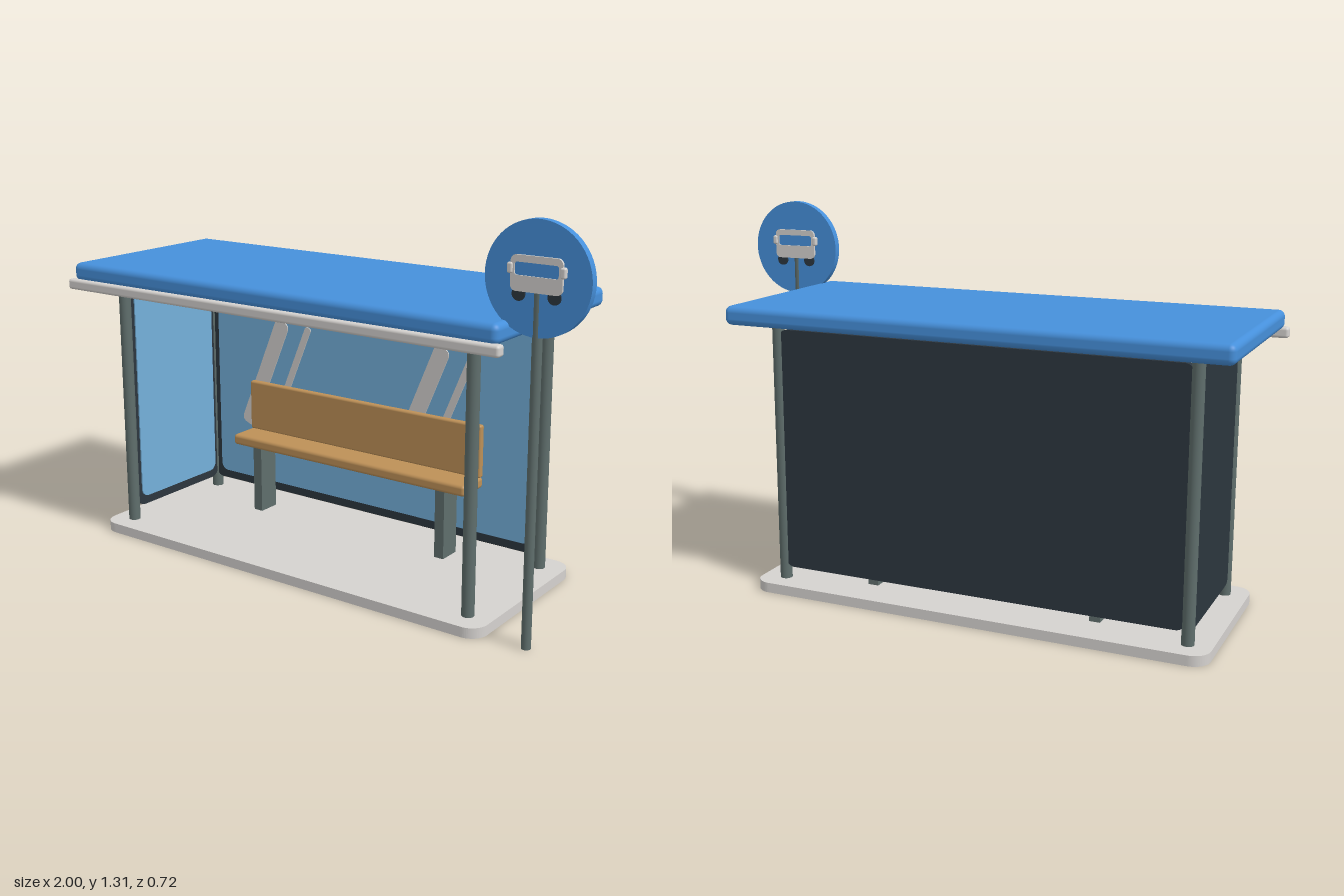
import * as THREE from 'three';
import { RoundedBoxGeometry } from 'three/addons/geometries/RoundedBoxGeometry.js';

const material = (name, color) => {
  const m = new THREE.MeshStandardMaterial({ color });
  m.name = name;
  return m;
};

// Rounded rectangle outline centred on (cx, cy)
function roundedRect(w, h, r, cx = 0, cy = 0, Type = THREE.Shape) {
  const s = new Type(), x = w / 2 - r, y = h / 2 - r;
  s.absarc(cx + x, cy + y, r, 0, Math.PI / 2);
  s.absarc(cx - x, cy + y, r, Math.PI / 2, Math.PI);
  s.absarc(cx - x, cy - y, r, Math.PI, Math.PI * 1.5);
  s.absarc(cx + x, cy - y, r, Math.PI * 1.5, Math.PI * 2);
  s.closePath();
  return s;
}

// Flat plate extruded along z and centred on z = 0
const plate = (shape, depth) =>
  new THREE.ExtrudeGeometry(shape, { depth, bevelEnabled: false, curveSegments: 8 }).translate(0, 0, -depth / 2);

export function createModel() {
  const blue = material('roof blue', 0x4690db);
  const glass = material('glass blue', 0x74b0da);
  const dark = material('frame charcoal', 0x2c363e);
  const steel = material('post grey', 0x5f6e6c);
  const wood = material('bench wood', 0xbd9057);
  const pale = material('pale grey', 0xd5d2cf);

  const model = new THREE.Group();
  model.name = 'busShelter';
  const add = (name, geometry, mat, x, y, z, parent = model) => {
    const mesh = new THREE.Mesh(geometry, mat);
    mesh.name = name;
    mesh.position.set(x, y, z);
    parent.add(mesh);
    return mesh;
  };

  // Ground slab
  const slab = plate(roundedRect(1.62, 0.64, 0.06), 0.035).rotateX(-Math.PI / 2);
  add('base', slab, pale, -0.12, 0.0175, -0.005);

  // Roof and front gutter
  add('roof', new RoundedBoxGeometry(1.73, 0.065, 0.705, 4, 0.022), blue, -0.12, 0.9775, -0.007);
  add('gutter', new RoundedBoxGeometry(1.76, 0.037, 0.037, 3, 0.01), pale, -0.12, 0.934, 0.342);

  // Four corner posts
  for (const x of [-0.85, 0.605])
    for (const z of [0.231, -0.242])
      add('post', new THREE.CylinderGeometry(0.021, 0.021, 0.925, 24), steel, x, 0.4925, z);

  // Back wall and the one end wall: dark panel with glass on the inside
  add('backPanel', plate(roundedRect(1.445, 0.845, 0.035), 0.024), dark, -0.1225, 0.5025, -0.242);
  add('backGlass', plate(roundedRect(1.385, 0.78, 0.03), 0.006), glass, -0.1175, 0.5025, -0.228);
  add('sidePanel', plate(roundedRect(0.45, 0.845, 0.035), 0.024).rotateY(Math.PI / 2), dark, -0.85, 0.5025, -0.005);
  add('sideGlass', plate(roundedRect(0.41, 0.78, 0.03), 0.006).rotateY(Math.PI / 2), glass, -0.836, 0.5025, -0.005);

  // Slanted reflections on the back glass
  for (const [x, y, width, length] of [[-0.577, 0.543, 0.064, 0.46], [-0.43, 0.6, 0.027, 0.32]])
    for (const shift of [0, 0.705]) {
      const streak = add('reflection', plate(roundedRect(width, length, width * 0.35), 0.004), pale, x + shift, y, -0.2235);
      streak.rotation.z = -0.4;
    }

  // Bench
  const bench = new THREE.Group();
  bench.name = 'bench';
  model.add(bench);
  add('seat', new RoundedBoxGeometry(1.02, 0.04, 0.13, 3, 0.012), wood, -0.12, 0.304, -0.155, bench);
  add('backrest', new RoundedBoxGeometry(1.02, 0.19, 0.026, 3, 0.008), wood, -0.12, 0.417, -0.207, bench);
  for (const x of [-0.527, 0.285])
    add('benchLeg', new THREE.BoxGeometry(0.037, 0.255, 0.084), steel, x, 0.1625, -0.148, bench);

  // Stop sign post with its round plate
  const sign = new THREE.Group();
  sign.name = 'stopSign';
  sign.position.set(0.83, 0, 0.263);
  model.add(sign);
  add('signPole', new THREE.CylinderGeometry(0.0155, 0.0155, 1.14, 20), steel, 0, 0.57, 0, sign);
  add('poleTip', new THREE.CylinderGeometry(0.008, 0.0155, 0.08, 20), steel, 0, 1.18, 0, sign);
  add('signDisc', new THREE.CylinderGeometry(0.17, 0.17, 0.026, 64).rotateX(Math.PI / 2), blue, 0, 1.14, 0, sign);

  // Bus pictogram, standing out on both faces of the disc
  const bus = roundedRect(0.165, 0.105, 0.018);
  bus.holes.push(roundedRect(0.14, 0.038, 0.008, 0, 0.013, THREE.Path));
  add('busSymbol', plate(bus, 0.042), pale, 0, 1.153, 0, sign);
  // Blue infill hides the pole behind the window
  add('busWindow', plate(roundedRect(0.14, 0.038, 0.008), 0.034), blue, 0, 1.166, 0, sign);
  for (const side of [-1, 1]) {
    add('busMirror', new RoundedBoxGeometry(0.018, 0.032, 0.054, 2, 0.006), pale, side * 0.084, 1.166, 0, sign);
    add('busWheel', new THREE.CylinderGeometry(0.021, 0.021, 0.036, 24).rotateX(Math.PI / 2), dark, side * 0.057, 1.093, 0, sign);
  }
  return model;
}
